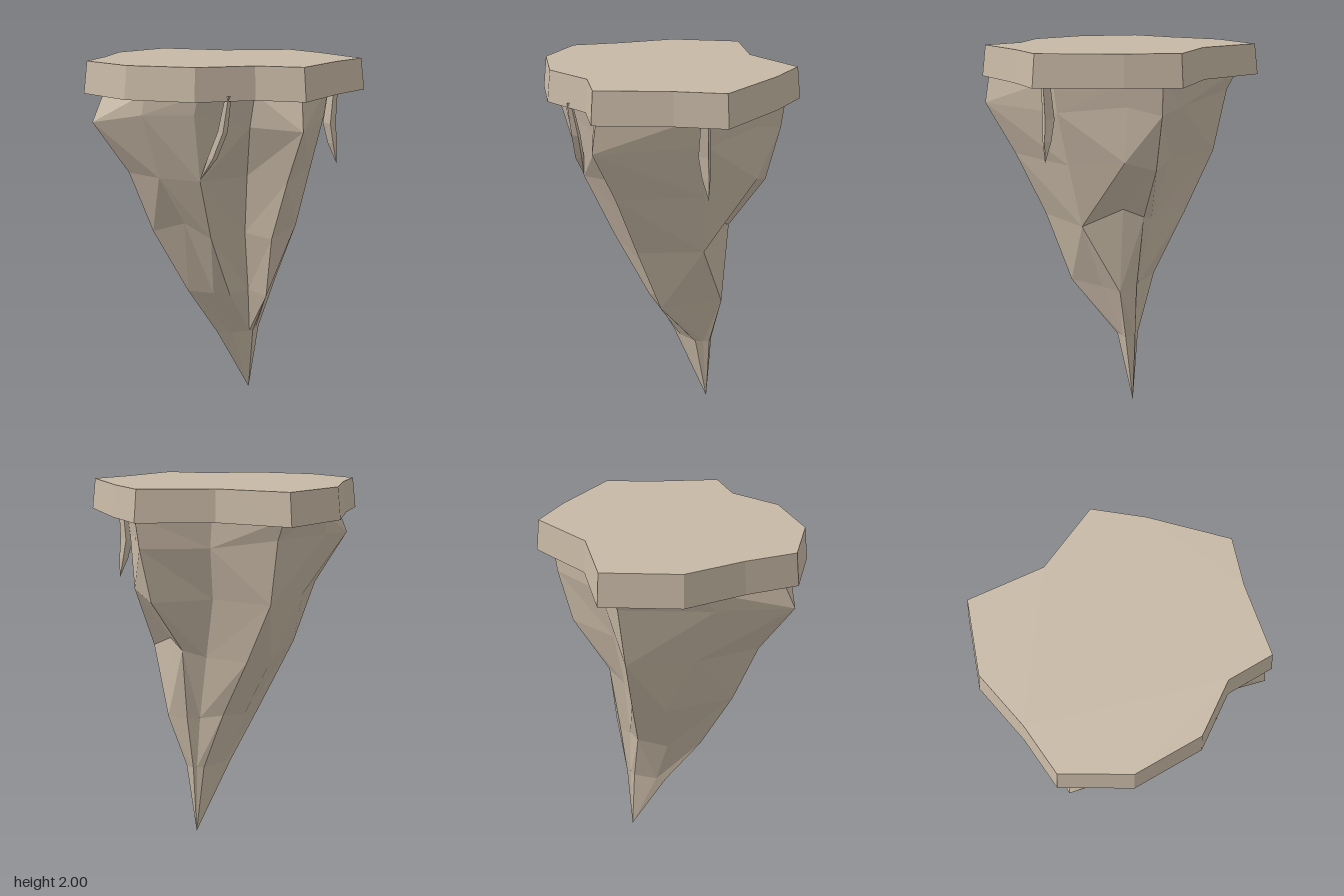
import * as THREE from 'three';

const stone = new THREE.MeshStandardMaterial({ color: 0xc7b8a5 });
stone.name = 'weathered stone';

// Flat-faceted skin over rings of [x, y, z]; rings run downward, counterclockwise from above.
// Each quad is split along the diagonal that lies farther out from the middle.
function loft(rings) {
  const pos = [];
  for (let k = 0; k < rings.length - 1; k++) {
    const top = rings[k], low = rings[k + 1], n = top.length;
    const mean = (axis) => [...top, ...low].reduce((s, p) => s + p[axis], 0) / (2 * n);
    const cx = mean(0), cz = mean(2);
    const reach = (p, q) => Math.hypot((p[0] + q[0]) / 2 - cx, (p[2] + q[2]) / 2 - cz);
    for (let i = 0; i < n; i++) {
      const j = (i + 1) % n;
      const a = top[i], b = top[j], c = low[j], d = low[i];
      if (k === rings.length - 2) pos.push(...a, ...c, ...b);
      else if (reach(a, c) > reach(b, d)) pos.push(...a, ...d, ...c, ...a, ...c, ...b);
      else pos.push(...a, ...d, ...b, ...d, ...c, ...b);
    }
  }
  const g = new THREE.BufferGeometry();
  g.setAttribute('position', new THREE.Float32BufferAttribute(pos, 3));
  g.computeVertexNormals();
  return g;
}

function part(name, geometry) {
  const m = new THREE.Mesh(geometry, stone);
  m.name = name;
  return m;
}

// Overhanging cap, tapering slightly toward its flat top
function capSlab() {
  const outline = [
    [-0.34, -0.665], [0.03, -0.49], [0.43, -0.52], [0.57, -0.27], [0.74, 0.14],
    [0.57, 0.34], [0.355, 0.665], [0.12, 0.578], [-0.18, 0.648], [-0.52, 0.518],
    [-0.74, 0.24], [-0.66, -0.03], [-0.6, -0.36],
  ];
  const shape = new THREE.Shape(outline.map(([x, z]) => new THREE.Vector2(x, -z)));
  const g = new THREE.ExtrudeGeometry(shape, { depth: 0.165, bevelEnabled: false });
  g.rotateX(-Math.PI / 2).translate(0, 1.835, 0);
  const p = g.attributes.position;
  for (let i = 0; i < p.count; i++) {
    if (p.getY(i) > 1.9) p.setXYZ(i, p.getX(i) * 0.972, 2, p.getZ(i) * 0.972);
  }
  g.computeVertexNormals();
  return part('capSlab', g);
}

// Tapering crag: each ridge or gully lists [x, z] at the shared heights, or [x, z, y] to override one
function crag() {
  const heights = [1.86, 1.69, 1.41, 1.07, 0.7, 0.4];
  const frontRidge = [[0.34, 0.63], [0.345, 0.66], [0.29, 0.51], [0.23, 0.36], [0.22, 0.21], [0.17, -0.05]];
  const leftEdge = [[0.55, 0.13], [0.53, 0.12], [0.47, 0.09], [0.4, 0.05], [0.26, 0], [0.19, -0.09]];
  const leftSpur = [[0.47, -0.27], [0.46, -0.24, 1.73], [0.47, -0.23, 1.45], [0.29, -0.14, 1.16], [0.31, -0.13], [0.21, -0.12]];
  const backLeftRidge = [[0.44, -0.42], [0.42, -0.41], [0.37, -0.36, 1.4], [0.22, -0.23, 1.11], [0.2, -0.18], [0.17, -0.16]];
  const backGully = [[0.05, -0.4], [0.06, -0.38], [0.05, -0.31], [0.09, -0.22], [0.13, -0.16], [0.15, -0.15]];
  const backRidge = [[-0.31, -0.56], [-0.28, -0.51, 1.75], [-0.25, -0.45], [-0.13, -0.33], [0, -0.2, 0.73], [0.11, -0.15]];
  const rightFace = [[-0.53, -0.22], [-0.55, -0.12, 1.73], [-0.43, -0.14], [-0.26, -0.2, 1.05], [-0.12, -0.08], [0, -0.07]];
  const rightRidge = [[-0.63, 0.22], [-0.7, 0.27], [-0.52, 0.21], [-0.4, 0.15], [-0.21, 0.09], [-0.04, -0.03]];
  const frontFace = [[-0.42, 0.47], [-0.44, 0.46, 1.75], [-0.36, 0.36], [-0.23, 0.26, 1.14], [-0.07, 0.14], [0.05, -0.02]];
  const frontRightRidge = [[-0.16, 0.56], [-0.18, 0.54, 1.76], [-0.15, 0.47], [-0.09, 0.33], [0.02, 0.17], [0.12, -0.04]];
  const frontGully = [[0.12, 0.53], [0.1, 0.49], [0.1, 0.33], [0.1, 0.21], [0.13, 0.08], [0.15, -0.05]];
  const columns = [frontRidge, leftEdge, leftSpur, backLeftRidge, backGully, backRidge,
    rightFace, rightRidge, frontFace, frontRightRidge, frontGully];
  const rings = heights.map((level, k) => columns.map((c) => {
    const [x, z, y = level] = c[k];
    return [x, y, z];
  }));
  rings.push(columns.map(() => [0.155, 0, -0.14]));
  return part('crag', loft(rings));
}

// Thin hanging splinter along a few points [x, y, z, radius]
function shard(name, path) {
  const rings = path.map(([x, y, z, r]) => [0, 1, 2, 3].map((i) => {
    const a = (i * Math.PI) / 2;
    return [x + r * Math.sin(a), y, z + r * Math.cos(a)];
  }));
  return part(name, loft(rings));
}

export function createModel() {
  const model = new THREE.Group();
  model.name = 'hangingRock';
  model.add(capSlab(), crag());
  model.add(shard('frontShard', [
    [-0.015, 1.86, 0.6, 0.015], [-0.04, 1.68, 0.56, 0.025], [-0.09, 1.54, 0.52, 0.025], [-0.15, 1.42, 0.47, 0],
  ]));
  model.add(shard('leftShard', [
    [0.57, 1.86, 0.16, 0.025], [0.555, 1.66, 0.155, 0.035], [0.575, 1.55, 0.155, 0.025], [0.6, 1.44, 0.155, 0],
  ]));
  return model;
}
